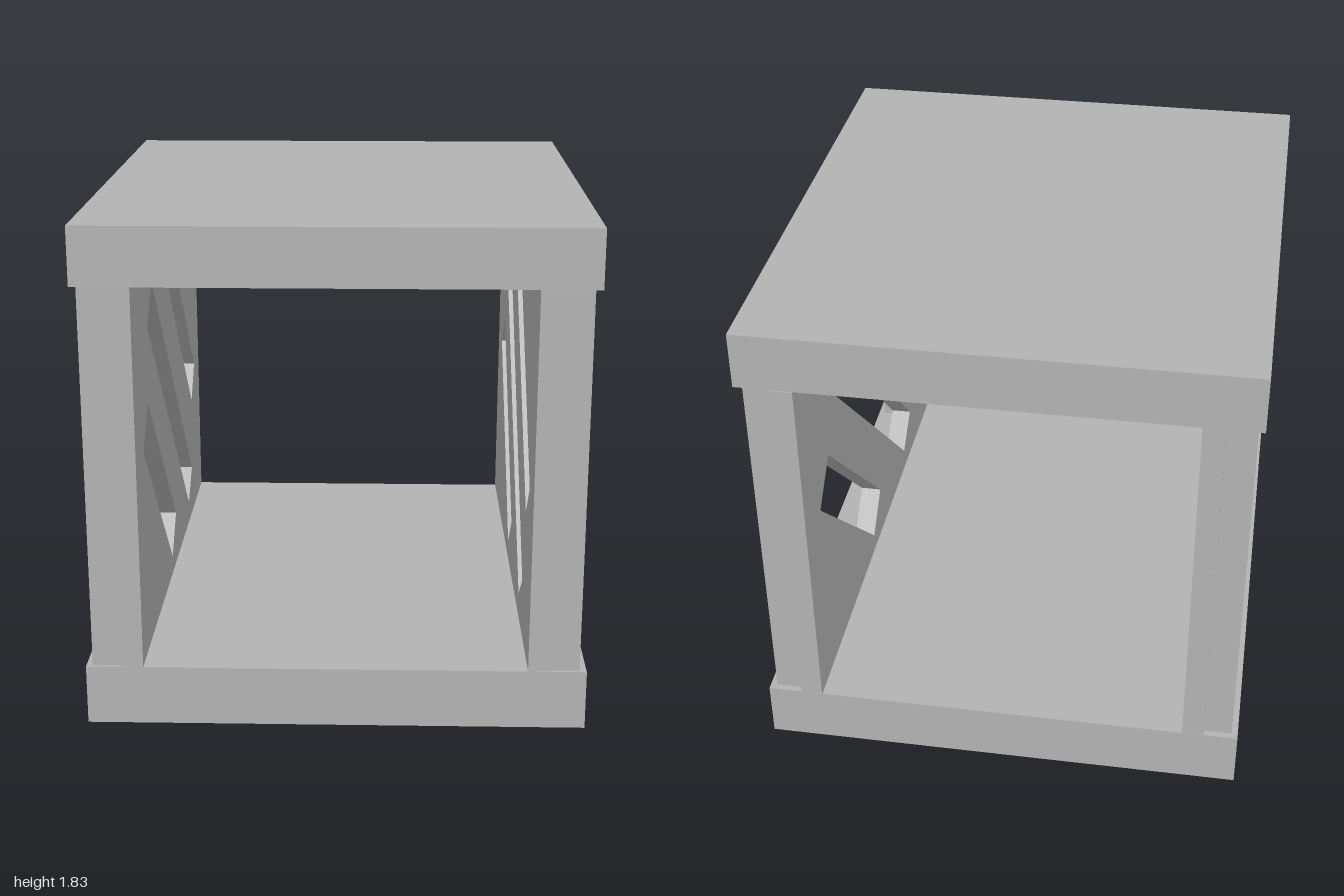
import * as THREE from 'three';

const grey = new THREE.MeshStandardMaterial({ color: 0xb2b2b2 });
grey.name = 'plain grey';

// Box given by its lower and upper limits
function box(name, [x0, x1], [y0, y1], [z0, z1]) {
  const mesh = new THREE.Mesh(new THREE.BoxGeometry(x1 - x0, y1 - y0, z1 - z0), grey);
  mesh.position.set((x0 + x1) / 2, (y0 + y1) / 2, (z0 + z1) / 2);
  mesh.name = name;
  return mesh;
}

// Corners of the diagonal slots as (z, y) on the left wall
const SLOTS = [
  [[0.10, 1.57], [-0.045, 1.44], [0.69, 0.715], [0.82, 0.85]],
  [[-0.465, 1.525], [-0.61, 1.38], [0.49, 0.305], [0.635, 0.42]],
  [[-0.655, 1.11], [-0.81, 0.97], [-0.105, 0.29], [0.04, 0.425]],
];
const WALL_Y = [0.22, 1.62];

// Slotted wall; the opposite wall has its slots turned front to back
function wall(name, side, outerX, zBack, zFront) {
  const points = (list) => list.map(([z, y]) => new THREE.Vector2(z, y));
  const [y0, y1] = WALL_Y;
  const shape = new THREE.Shape(points([[zBack, y0], [zFront, y0], [zFront, y1], [zBack, y1]]));
  for (const slot of SLOTS) {
    shape.holes.push(new THREE.Path(points(slot.map(([z, y]) => [z * side, y]))));
  }
  const geometry = new THREE.ExtrudeGeometry(shape, { depth: 0.08, bevelEnabled: false });
  geometry.rotateY(-Math.PI / 2).translate(outerX, 0, 0);
  const mesh = new THREE.Mesh(geometry, grey);
  mesh.name = name;
  return mesh;
}

export function createModel() {
  const model = new THREE.Group();
  model.name = 'slottedStand';

  // Thick base and top
  model.add(box('baseSlab', [-0.9, 0.9], [0, 0.22], [-0.995, 1]));
  model.add(box('topSlab', [-0.9, 0.9], [1.62, 1.83], [-0.995, 1]));

  // Side walls
  model.add(wall('leftWall', 1, 0.77, -1, 0.998));
  model.add(wall('rightWall', -1, -0.693, -0.993, 0.998));

  // Corner posts on the outside of the walls
  for (const [side, x] of [['left', [0.77, 0.875]], ['right', [-0.877, -0.773]]]) {
    model.add(box(side + 'FrontPost', x, WALL_Y, [0.89, 0.988]));
    model.add(box(side + 'BackPost', x, WALL_Y, [-0.97, -0.873]));
  }
  return model;
}
